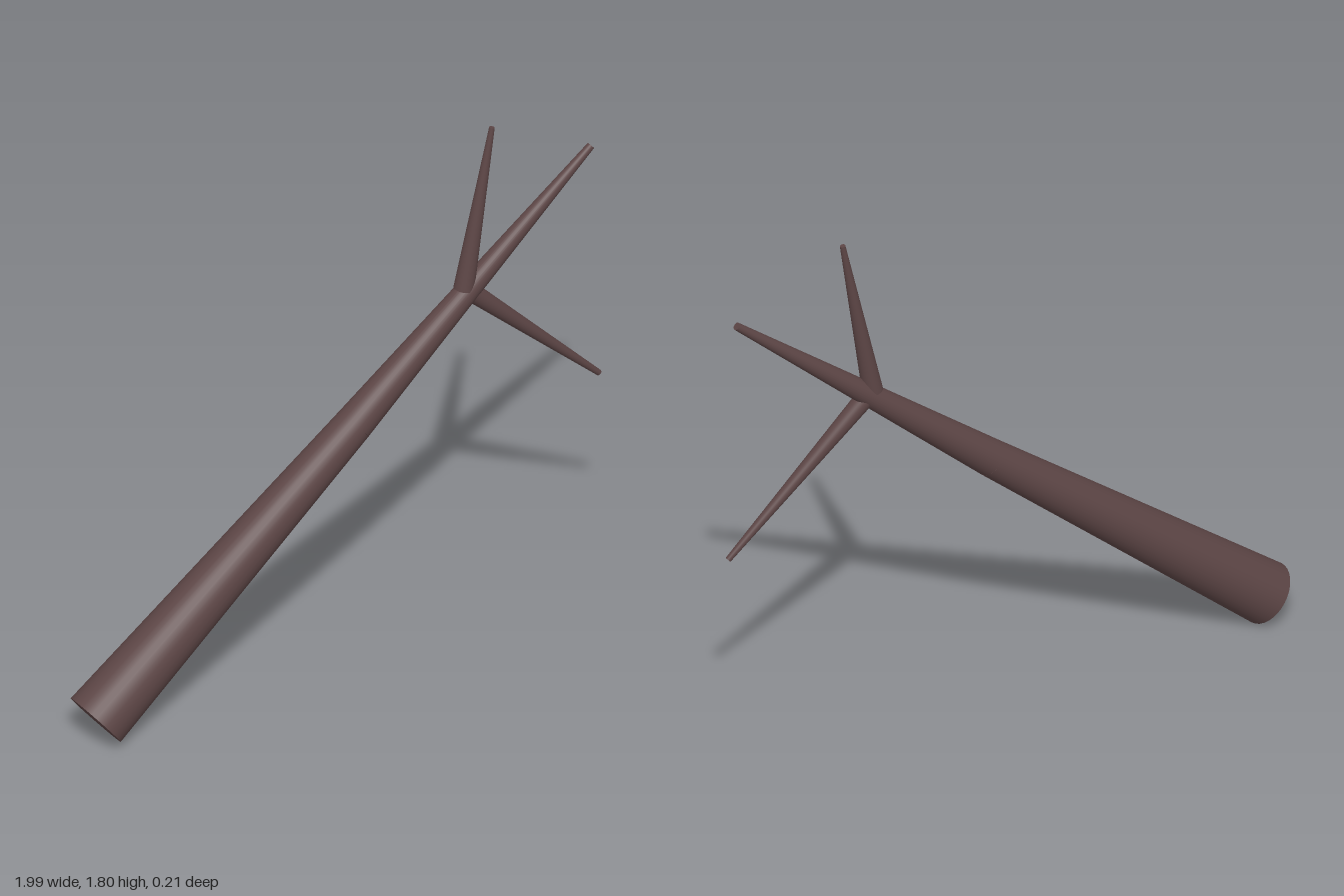
import * as THREE from 'three';

export function createModel() {
  const model = new THREE.Group();
  const bark = new THREE.MeshStandardMaterial({ color: 0x5c4545 });
  bark.name = 'dark brown bark';

  // Tapered round limb between two points in the z = 0 plane
  function limb(name, [x0, y0], [x1, y1], r0, r1) {
    const a = new THREE.Vector3(x0, y0, 0);
    const b = new THREE.Vector3(x1, y1, 0);
    const dir = b.clone().sub(a);
    const mesh = new THREE.Mesh(new THREE.CylinderGeometry(r1, r0, dir.length(), 32), bark);
    mesh.name = name;
    mesh.position.copy(a).add(b).multiplyScalar(0.5);
    mesh.quaternion.setFromUnitVectors(new THREE.Vector3(0, 1, 0), dir.normalize());
    model.add(mesh);
  }

  // Leaning trunk, tapering faster above the middle
  limb('lowerTrunk', [-0.935, 0.09], [0.05, 0.868], 0.106, 0.062);
  limb('upperTrunk', [0.05, 0.868], [0.955, 1.607], 0.062, 0.013);

  // Two side branches at the fork
  limb('upperBranch', [0.47, 1.235], [0.577, 1.805], 0.034, 0.009);
  limb('lowerBranch', [0.49, 1.22], [0.985, 0.74], 0.032, 0.01);

  return model;
}
